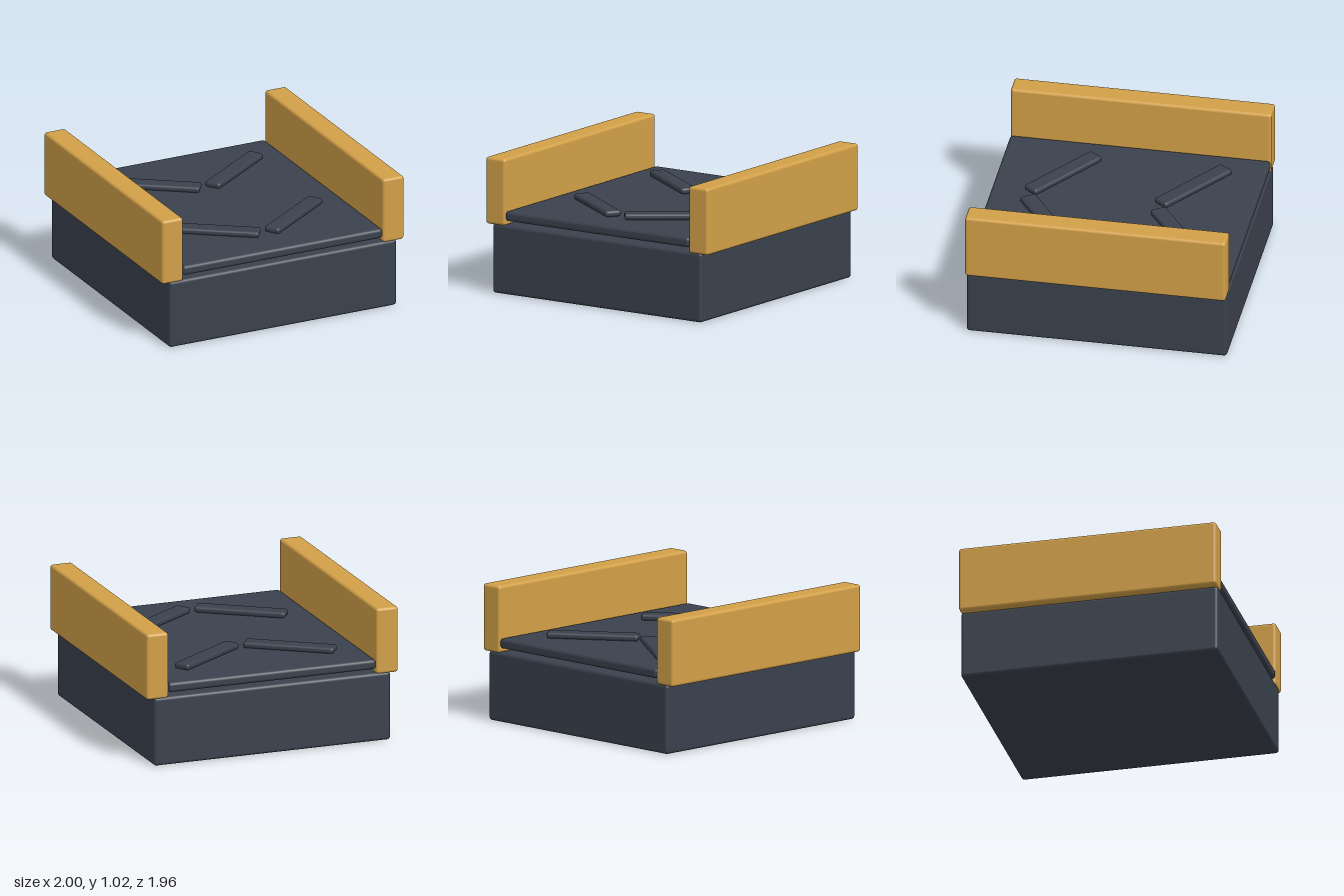
import * as THREE from 'three';
import { RoundedBoxGeometry } from 'three/addons/geometries/RoundedBoxGeometry.js';

export function createModel() {
  const model = new THREE.Group();
  model.name = 'conveyor';

  const slate = new THREE.MeshStandardMaterial({ color: 0x3a414d });
  slate.name = 'slate';
  const amber = new THREE.MeshStandardMaterial({ color: 0xd2a048 });
  amber.name = 'amber';

  // Rounded block given by its size and centre
  const block = (name, material, size, centre, radius, turn = 0) => {
    const mesh = new THREE.Mesh(new RoundedBoxGeometry(...size, 4, radius), material);
    mesh.name = name;
    mesh.position.set(...centre);
    mesh.rotation.y = turn;
    model.add(mesh);
  };

  // Base, with the belt floating just above it
  block('base', slate, [1.88, 0.525, 1.96], [0, 0.2625, 0], 0.025);
  block('belt', slate, [1.65, 0.075, 1.96], [0, 0.592, 0], 0.025);

  for (const side of [-1, 1]) {
    const label = side > 0 ? 'left' : 'right';
    block(label + 'Rail', amber, [0.175, 0.505, 1.96], [side * 0.9125, 0.768, 0], 0.022);

    // Direction markers: angled bars meeting in a V toward the front
    for (const z of [-0.49, 0.49]) {
      const place = z > 0 ? 'Front' : 'Back';
      block(label + place + 'Chevron', slate, [0.69, 0.047, 0.125],
        [side * 0.33, 0.653, z], 0.02, side * THREE.MathUtils.degToRad(35));
    }
  }
  return model;
}
